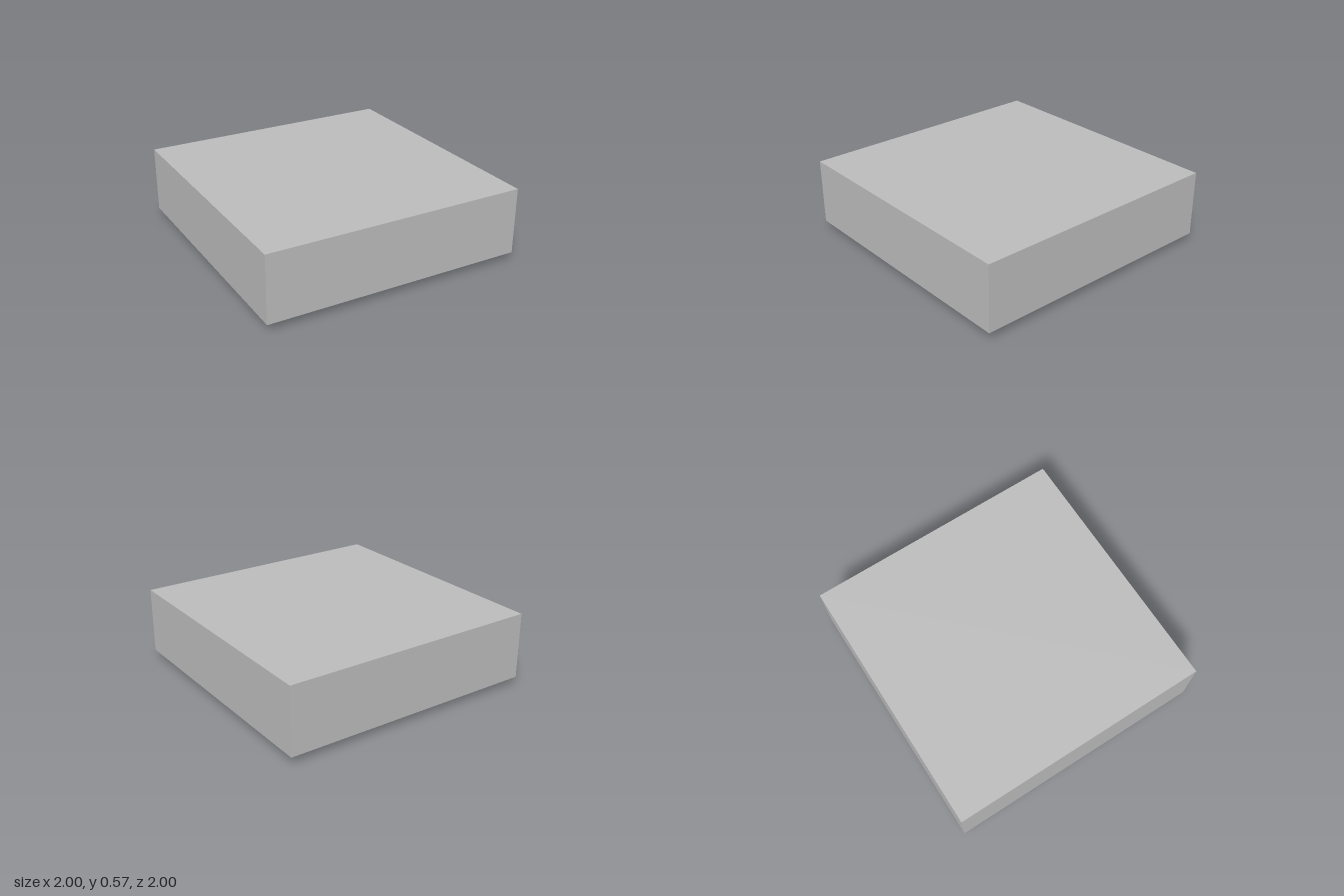
import * as THREE from 'three';

const BASE = 0.06; // depth of the raised stamp relief under the block

// Relief part: outline in (x, z), extruded from y = 0 up to the block
function relief(shape, material, name) {
  const geometry = new THREE.ExtrudeGeometry(shape, { depth: BASE, bevelEnabled: false, curveSegments: 6 });
  geometry.rotateX(Math.PI / 2);
  geometry.translate(0, BASE, 0);
  const mesh = new THREE.Mesh(geometry, material);
  mesh.name = name;
  return mesh;
}

const toVectors = (points) => points.map(([x, y]) => new THREE.Vector2(x, y));

// Petal pointing along +z with a pentagonal hole
function petalShape() {
  const shape = new THREE.Shape();
  shape.moveTo(0, 0.115);
  shape.lineTo(0.1, 0.19);
  shape.splineThru(toVectors([
    [0.095, 0.35], [0.155, 0.5], [0.2, 0.64], [0.185, 0.74], [0.1, 0.782], [0, 0.783],
    [-0.1, 0.782], [-0.185, 0.74], [-0.2, 0.64], [-0.155, 0.5], [-0.095, 0.35], [-0.1, 0.19],
  ]));
  shape.closePath();
  shape.holes.push(new THREE.Path(toVectors([
    [0, 0.51], [-0.08, 0.575], [-0.05, 0.67], [0.05, 0.67], [0.08, 0.575],
  ])));
  return shape;
}

// Notched bud on the diagonal, mirrored about x = z
function budShape() {
  const half = [[0.3, 0.2], [0.36, 0.265], [0.41, 0.345], [0.48, 0.305], [0.555, 0.315], [0.565, 0.4], [0.52, 0.49]];
  const mirrored = half.map(([x, z]) => [z, x]).reverse();
  return new THREE.Shape(toVectors([...half, ...mirrored]));
}

export function createModel() {
  const model = new THREE.Group();
  model.name = 'stampBlock';
  const grey = new THREE.MeshStandardMaterial({ color: 0xbbbbbb });
  grey.name = 'plain grey';

  // Square block
  const block = new THREE.Mesh(new THREE.BoxGeometry(2, 0.51, 2), grey);
  block.name = 'block';
  block.position.y = BASE + 0.255;
  model.add(block);

  // Four petals on the axes and four buds between them
  for (let i = 0; i < 4; i++) {
    const petal = relief(petalShape(), grey, 'petal');
    petal.rotation.y = (i * Math.PI) / 2;
    if (i % 2) petal.scale.z = 1.03;
    const bud = relief(budShape(), grey, 'bud');
    bud.rotation.y = (i * Math.PI) / 2;
    model.add(petal, bud);
  }
  return model;
}
